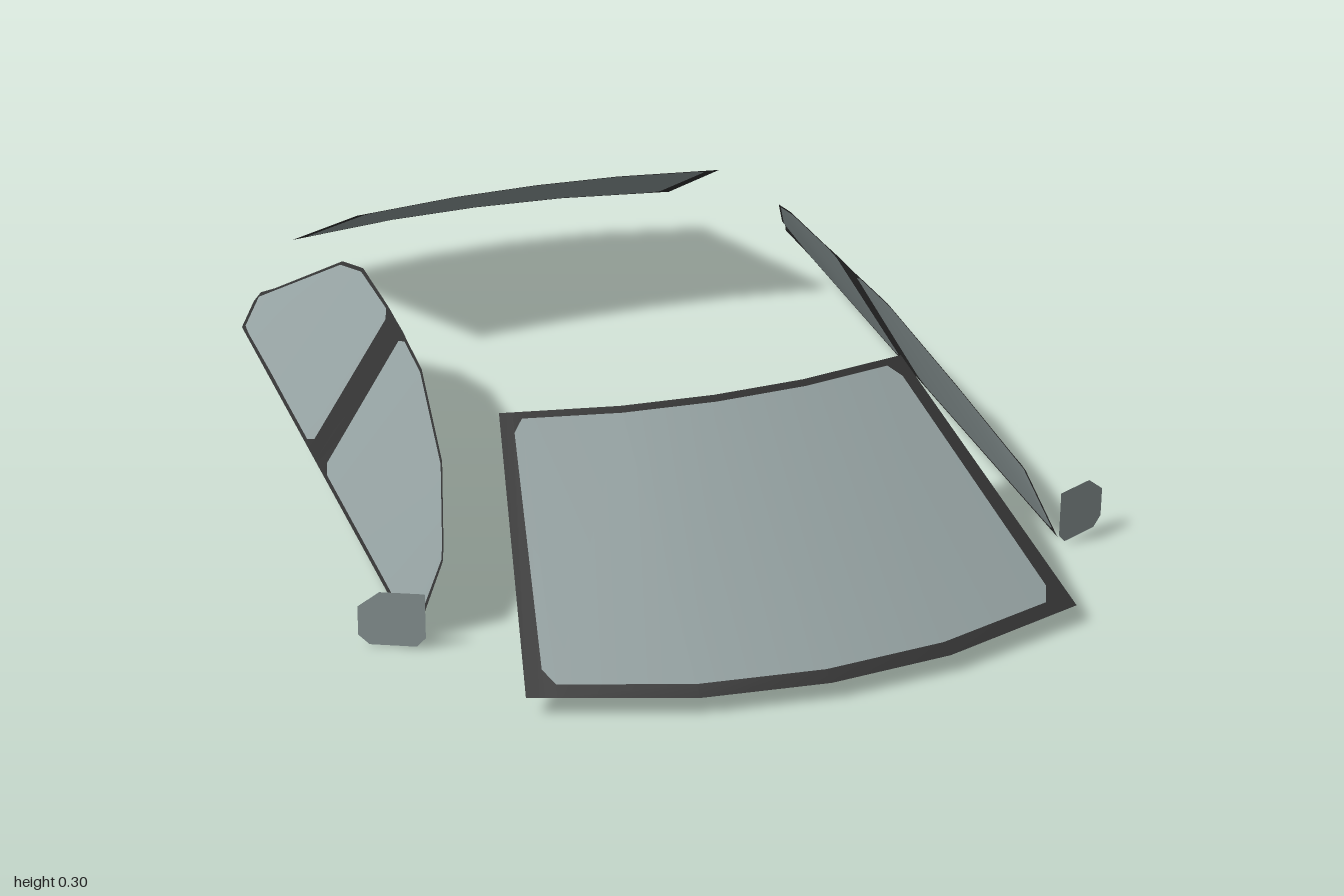
import * as THREE from 'three';
import { mergeVertices } from 'three/addons/utils/BufferGeometryUtils.js';

const glass = new THREE.MeshStandardMaterial({ name: 'tinted glass', color: 0x94a1a1, side: THREE.DoubleSide });
const trim = new THREE.MeshStandardMaterial({ name: 'black trim', color: 0x333333, side: THREE.DoubleSide });
const lerp = THREE.MathUtils.lerp;

// Smooth sheet from four-cornered patches
function sheet(name, patches, material) {
  const pos = patches.flatMap(([a, b, c, d]) => [a, b, c, a, c, d].flat());
  let geo = new THREE.BufferGeometry();
  geo.setAttribute('position', new THREE.Float32BufferAttribute(pos, 3));
  geo = mergeVertices(geo, 1e-5);
  geo.computeVertexNormals();
  const mesh = new THREE.Mesh(geo, material);
  mesh.name = name;
  return mesh;
}

// Pane with a border: each column has the glass limits lo..hi, or none where it is all trim
function pane(name, cols, point, flip) {
  const panes = [], border = [];
  const patch = (list, a, b, a0, a1, b0, b1) => {
    const q = [point(a, a0), point(b, b0), point(b, b1), point(a, a1)];
    list.push(flip ? q.reverse() : q);
  };
  for (let i = 0; i + 1 < cols.length; i++) {
    const a = cols[i], b = cols[i + 1];
    if (a.lo === undefined || b.lo === undefined) {
      patch(border, a, b, 0, 1, 0, 1);
    } else {
      patch(panes, a, b, a.lo, a.hi, b.lo, b.hi);
      patch(border, a, b, 0, a.lo, 0, b.lo);
      patch(border, a, b, a.hi, 1, b.hi, 1);
    }
  }
  const group = new THREE.Group();
  group.name = name;
  group.add(sheet(name + 'Glass', panes, glass), sheet(name + 'Trim', border, trim));
  return group;
}

// Windscreen or rear window: bowed along z, v runs from bottom to top
function screen(name, bottom, top, lo, hi, dir) {
  const half = [{ u: 0, lo, hi }, { u: 0.45, lo, hi }, { u: 0.9, lo, hi },
    { u: 0.94, lo: lo + 0.05, hi: hi - 0.05 }, { u: 1 }];
  const cols = [...half.slice(1).reverse().map(c => ({ ...c, u: -c.u })), ...half];
  const bow = u => Math.abs(u) < 0.45 ? 1 - Math.abs(u) * 0.2 / 0.45 : 0.91 * (1 - Math.abs(u)) / 0.55 * 0.8 / 0.91;
  const edge = (e, u) => [e.x * u, e.y + e.rise * bow(u), dir * (e.z + e.bow * bow(u))];
  return pane(name, cols, (c, v) => {
    const a = edge(bottom, c.u), b = edge(top, c.u);
    return a.map((n, i) => lerp(n, b[i], v));
  }, dir < 0);
}

// Side window columns: bottom z, top z, top y, top x, glass limits
const sideCols = [
  [0.595, 0.575, 0.14, 0.53],
  [0.583, 0.565, 0.148, 0.526, 0.08, 0.94],
  [0.56, 0.54, 0.16, 0.518, 0.04, 0.96],
  [0.39, 0.39, 0.232, 0.475, 0.03, 0.975],
  [0.14, 0.15, 0.295, 0.441, 0.025, 0.98],
  [0.01, 0.025, 0.3, 0.434, 0.025, 0.98],
  [-0.015, 0, 0.301, 0.432, 0.07, 0.94],
  [-0.06, -0.047, 0.303, 0.431],
  [-0.108, -0.095, 0.304, 0.429, 0.07, 0.94],
  [-0.133, -0.12, 0.304, 0.428, 0.025, 0.98],
  [-0.3, -0.3, 0.304, 0.425, 0.025, 0.975],
  [-0.4, -0.4, 0.28, 0.439, 0.03, 0.97],
  [-0.59, -0.6, 0.155, 0.525, 0.06, 0.94],
  [-0.612, -0.635, 0.135, 0.545, 0.12, 0.88],
  [-0.625, -0.655, 0.11, 0.555],
].map(([zb, zt, yt, xt, lo, hi]) => ({ zb, zt, yt, xt, lo, hi }));

function sideWindow(name, s) {
  return pane(name, sideCols, (c, v) => [
    s * lerp(0.588, c.xt, v),
    lerp(0.01 + 0.05 * (0.6 - c.zb), c.yt, v),
    lerp(c.zb, c.zt, v),
  ], s < 0);
}

// Flat mirror glass, its outer end set back
function mirror(name, s) {
  const outline = [[0.576, 0.112], [0.645, 0.112], [0.679, 0.083], [0.679, 0.03],
    [0.662, 0.013], [0.59, 0.013], [0.576, 0.03]];
  const shape = new THREE.Shape(outline.map(([x, y]) => new THREE.Vector2(s * x, y)));
  const geo = new THREE.ShapeGeometry(shape);
  const p = geo.attributes.position;
  for (let i = 0; i < p.count; i++) p.setZ(i, 0.625 - (Math.abs(p.getX(i)) - 0.576) * 0.47);
  geo.computeVertexNormals();
  const mesh = new THREE.Mesh(geo, glass);
  mesh.name = name;
  return mesh;
}

export function createModel() {
  const model = new THREE.Group();
  model.name = 'carGlass';
  model.add(
    screen('windscreen', { x: 0.485, y: 0.042, rise: -0.003, z: 0.89, bow: 0.108 },
      { x: 0.37, y: 0.302, rise: 0.003, z: 0.38, bow: 0.055 }, 0.045, 0.975, 1),
    screen('rearWindow', { x: 0.405, y: 0.104, rise: -0.003, z: 0.945, bow: 0.055 },
      { x: 0.37, y: 0.305, rise: 0.005, z: 0.55, bow: 0.027 }, 0.02, 0.975, -1),
  );
  for (const [side, s] of [['left', 1], ['right', -1]]) {
    model.add(sideWindow(side + 'Window', s), mirror(side + 'Mirror', s));
  }
  // Stand on the ground
  model.position.y = -0.01;
  return model;
}
